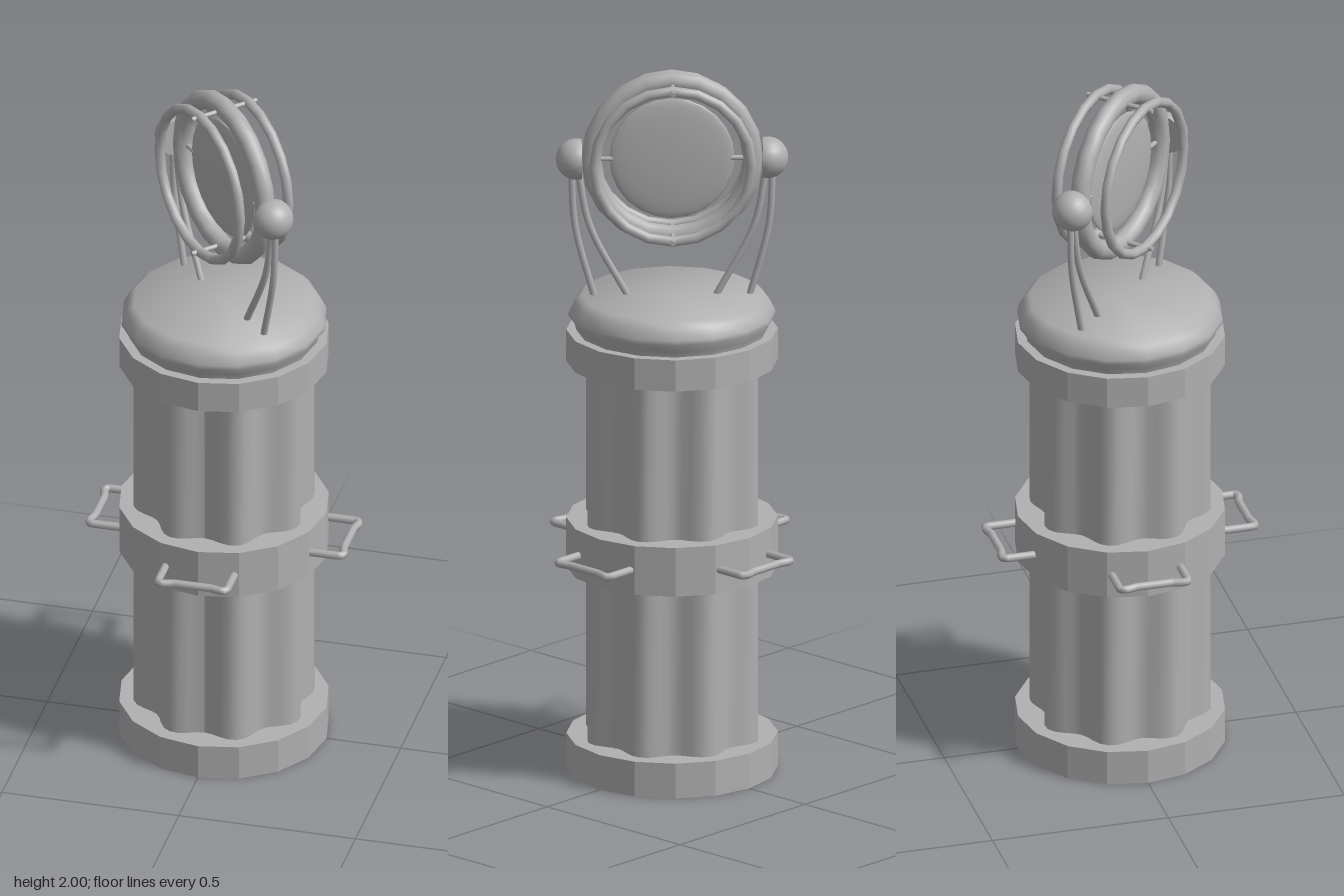
import * as THREE from 'three';
import { toCreasedNormals } from 'three/addons/utils/BufferGeometryUtils.js';

const V = (x, y, z) => new THREE.Vector3(x, y, z);

export function createModel() {
  const model = new THREE.Group();
  const grey = new THREE.MeshStandardMaterial({ color: 0xb0b0b0 });

  const add = (parent, name, geometry, x = 0, y = 0, z = 0) => {
    const mesh = new THREE.Mesh(geometry, grey);
    mesh.name = name;
    mesh.position.set(x, y, z);
    parent.add(mesh);
    return mesh;
  };

  // Three faceted collars: [name, bottom, top]
  for (const [name, y0, y1] of [['baseBand', 0, 0.1], ['middleBand', 0.58, 0.72], ['topBand', 1.17, 1.26]]) {
    const band = new THREE.CylinderGeometry(0.29, 0.29, y1 - y0, 16);
    add(model, name, toCreasedNormals(band, 0.2), 0, (y0 + y1) / 2);
  }

  // Fluted column with eight rounded lobes
  const column = new THREE.CylinderGeometry(1, 1, 1.2, 64, 1, true);
  const p = column.attributes.position;
  for (let i = 0; i < p.count; i++) {
    const a = Math.atan2(p.getX(i), p.getZ(i));
    const r = 0.232 - 0.018 * Math.cos(8 * a);
    p.setXYZ(i, r * Math.sin(a), p.getY(i), r * Math.cos(a));
  }
  column.computeVertexNormals();
  add(model, 'flutedBody', column, 0, 0.64);

  // Rounded lid
  const lidProfile = [[0.262, 1.255], [0.266, 1.275], [0.284, 1.3], [0.283, 1.312], [0.268, 1.342], [0.25, 1.36], [0, 1.362]];
  const lid = new THREE.LatheGeometry(lidProfile.map(([r, y]) => new THREE.Vector2(r, y)), 16);
  add(model, 'lid', toCreasedNormals(lid, 0.8));

  // Four carrying handles around the middle band
  const handlePath = new THREE.CurvePath();
  const pts = [[0.097, 0.255], [0.097, 0.352], [0.087, 0.361], [0.052, 0.352],
    [-0.052, 0.352], [-0.087, 0.361], [-0.097, 0.352], [-0.097, 0.255]].map(([x, z]) => V(x, 0, z));
  for (let i = 1; i < pts.length; i++) handlePath.add(new THREE.LineCurve3(pts[i - 1], pts[i]));
  const handleGeometry = new THREE.TubeGeometry(handlePath, 48, 0.0115, 8);
  for (let i = 0; i < 4; i++) {
    add(model, 'handle', handleGeometry, 0, 0.648).rotation.y = i * Math.PI / 2;
  }

  // Ring assembly, turned onto the diagonal; local z is the ring axis
  const head = new THREE.Group();
  head.name = 'ringHead';
  head.position.y = 1.75;
  head.rotation.y = Math.PI * 0.75;
  model.add(head);

  add(head, 'mainRing', new THREE.TorusGeometry(0.222, 0.028, 10, 20));
  const disc = add(head, 'disc', new THREE.SphereGeometry(0.172, 24, 12));
  disc.scale.z = 0.09;

  for (const s of [-1, 1]) {
    add(head, 'sideRing', new THREE.TorusGeometry(0.216, 0.0145, 8, 20), 0, 0, s * 0.077);

    // Pins through all three rings, above and below
    const pin = add(head, 'ringPin', new THREE.CylinderGeometry(0.007, 0.007, 0.206, 8), 0, s * 0.214);
    pin.rotation.x = Math.PI / 2;

    // Pivots holding the disc in the main ring
    const pivot = add(head, 'discPivot', new THREE.CylinderGeometry(0.007, 0.007, 0.05, 8), s * 0.187);
    pivot.rotation.z = Math.PI / 2;

    // Domed knob with a flat inner face
    const side = new THREE.Group();
    side.name = 'sideMount';
    side.rotation.y = s < 0 ? Math.PI : 0;
    head.add(side);
    const cut = Math.PI * 0.58;
    const knob = add(side, 'knob', new THREE.SphereGeometry(0.057, 20, 12, 0, Math.PI * 2, 0, cut), 0.262);
    knob.rotation.z = -Math.PI / 2;
    const face = add(side, 'knobFace', new THREE.CircleGeometry(0.057 * Math.sin(cut), 20), 0.262 + 0.057 * Math.cos(cut));
    face.rotation.y = -Math.PI / 2;

    // Pair of curved support rods down to the lid
    for (const [top, mid, foot] of [[0.276, 0.266, 0.212], [0.258, 0.226, 0.118]]) {
      const curve = new THREE.CatmullRomCurve3([V(top, -0.03, 0), V(mid, -0.19, 0), V(foot, -0.4, 0)]);
      add(side, 'supportRod', new THREE.TubeGeometry(curve, 14, 0.0095, 8));
    }
  }

  return model;
}
